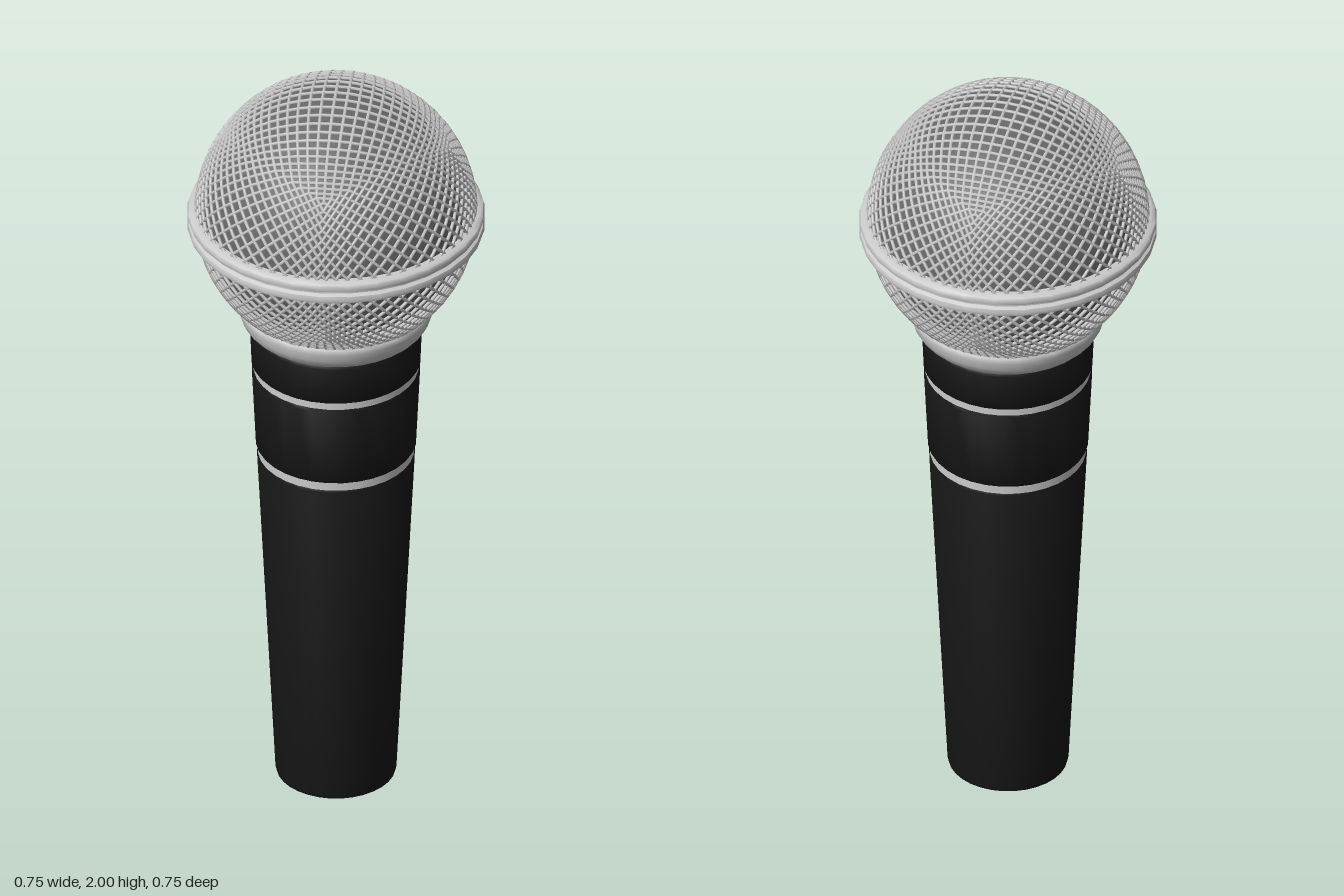
import * as THREE from 'three';
import { mergeGeometries, toCreasedNormals } from 'three/addons/utils/BufferGeometryUtils.js';

const SIDES = 32;
const HEAD_Y = 1.645;
const WIRE_SPHERE = 0.3505;
const WIRE = 0.0045;

const silver = new THREE.MeshStandardMaterial({ color: 0xcccccc });
const black = new THREE.MeshStandardMaterial({ color: 0x161616 });
const darkGrey = new THREE.MeshStandardMaterial({ color: 0x666666 });

// Turned part from [radius, height] pairs listed bottom to top
function turned(name, profile, material) {
  const points = profile.map(([r, y]) => new THREE.Vector2(r, y));
  const geometry = toCreasedNormals(new THREE.LatheGeometry(points, SIDES), 0.7);
  const mesh = new THREE.Mesh(geometry, material);
  mesh.name = name;
  return mesh;
}

// Arc on the head sphere between two points of the enclosing cube
class SphereArc extends THREE.Curve {
  constructor(a, b) {
    super();
    this.a = a;
    this.b = b;
    this.arcLengthDivisions = 40;
  }
  getPoint(t, target = new THREE.Vector3()) {
    return target.lerpVectors(this.a, this.b, t).setLength(WIRE_SPHERE);
  }
}

// Woven grille: diagonal wires across each face of a cube, pushed onto a sphere
function wireMesh() {
  const cells = 16;
  const faces = [[0, 0], [Math.PI / 2, 0], [Math.PI, 0], [-Math.PI / 2, 0], [0, Math.PI / 2], [0, -Math.PI / 2]];
  const oneFace = [];
  for (let k = 1 - cells; k < cells; k++) {
    const offset = (2 * k) / cells;
    const start = Math.max(-1, -1 - offset);
    const end = Math.min(1, 1 - offset);
    for (const flip of [1, -1]) {
      const a = new THREE.Vector3(flip * start, start + offset, 1);
      const b = new THREE.Vector3(flip * end, end + offset, 1);
      oneFace.push(new THREE.TubeGeometry(new SphereArc(a, b), cells - Math.abs(k), WIRE, 5));
    }
  }
  const face = mergeGeometries(oneFace);
  const all = faces.map(([ry, rx]) => face.clone().rotateX(rx).rotateY(ry));
  const mesh = new THREE.Mesh(mergeGeometries(all), silver);
  mesh.name = 'grilleWires';
  return mesh;
}

export function createModel() {
  const model = new THREE.Group();
  model.name = 'microphone';

  // Ball head
  const head = new THREE.Group();
  head.name = 'head';
  head.position.y = HEAD_Y;
  const core = new THREE.Mesh(new THREE.SphereGeometry(0.343, 48, 32), darkGrey);
  core.name = 'grilleLining';
  head.add(core, wireMesh());
  model.add(head);

  // Double-beaded band around the head
  model.add(turned('headBand', [
    [0.34, 1.6], [0.362, 1.6], [0.37, 1.604], [0.373, 1.613], [0.37, 1.622], [0.361, 1.627],
    [0.361, 1.632], [0.37, 1.637], [0.373, 1.646], [0.37, 1.655], [0.362, 1.66], [0.34, 1.66],
  ], silver));

  // Collar between head and handle
  model.add(turned('collar', [
    [0.17, 1.317], [0.208, 1.317], [0.22, 1.322], [0.232, 1.334], [0.24, 1.35],
    [0.245, 1.37], [0.246, 1.383], [0.242, 1.39], [0.234, 1.393], [0.2, 1.393],
  ], silver));

  // Tapered handle sections
  model.add(turned('handleTop', [
    [0.15, 1.207], [0.208, 1.207], [0.212, 1.212], [0.216, 1.31], [0.212, 1.317], [0.15, 1.317],
  ], black));
  model.add(turned('handleMiddle', [
    [0.15, 0.965], [0.197, 0.965], [0.201, 0.971], [0.211, 1.181], [0.207, 1.188], [0.15, 1.188],
  ], black));
  model.add(turned('handleGrip', [
    [0, 0], [0.142, 0], [0.149, 0.005], [0.152, 0.018], [0.198, 0.937], [0.194, 0.944], [0.15, 0.944],
  ], black));

  // Silver inlay rings in the gaps between sections
  [[0.207, 1.1975], [0.196, 0.9545]].forEach(([r, y], i) => {
    const ring = new THREE.Mesh(new THREE.CylinderGeometry(r, r, 0.024, SIDES), silver);
    ring.name = i ? 'lowerInlayRing' : 'upperInlayRing';
    ring.position.y = y;
    model.add(ring);
  });

  return model;
}
